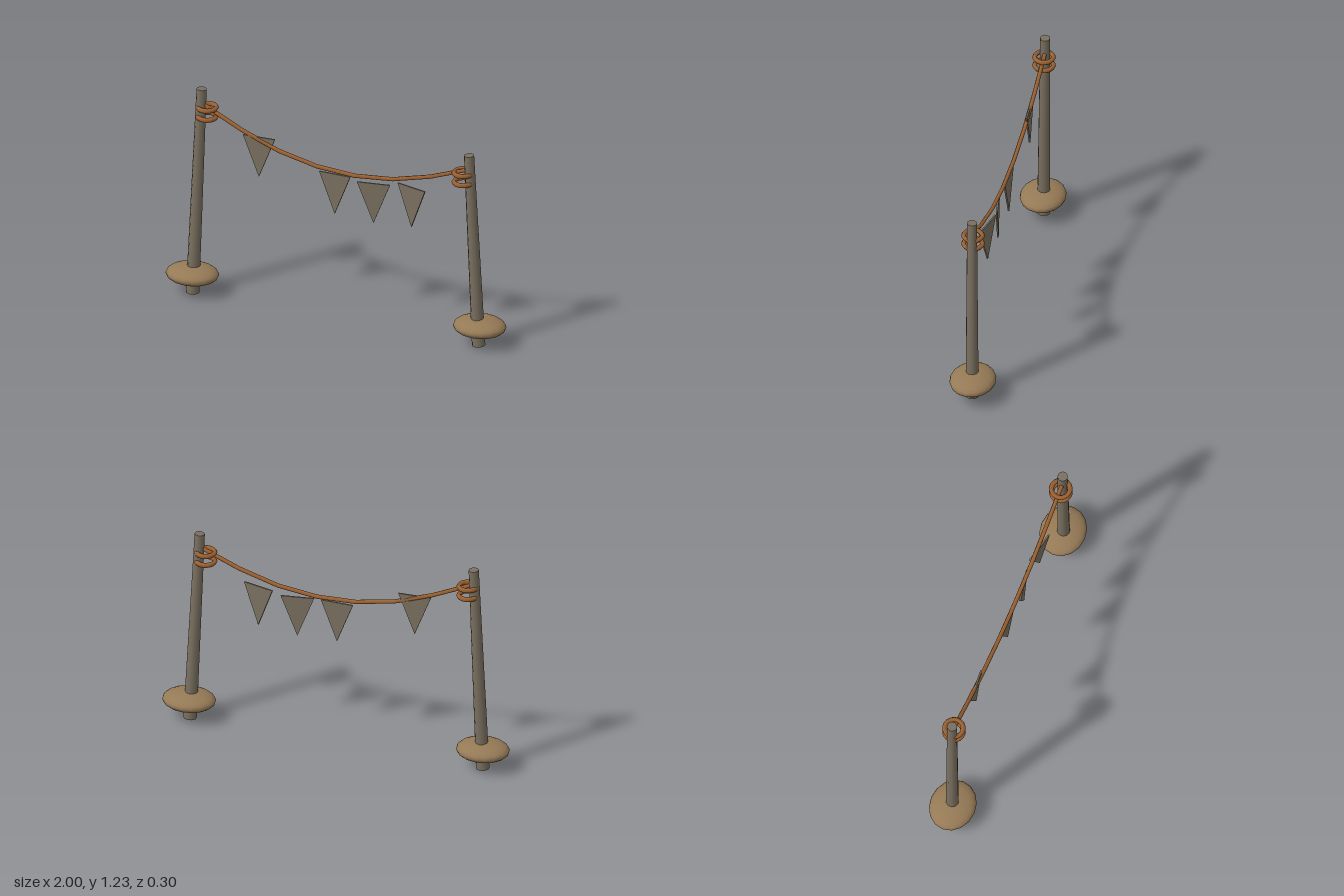
import * as THREE from 'three';

const material = (name, color, side = THREE.FrontSide) => {
  const m = new THREE.MeshStandardMaterial({ color, side });
  m.name = name;
  return m;
};

export function createModel() {
  const group = new THREE.Group();
  const wood = material('weatheredWood', 0x7a7060);
  const earth = material('packedEarth', 0x967a56);
  const hemp = material('hempRope', 0x9c6232);

  const add = (name, geometry, mat, x = 0, y = 0, z = 0) => {
    const mesh = new THREE.Mesh(geometry, mat);
    mesh.name = name;
    mesh.position.set(x, y, z);
    group.add(mesh);
    return mesh;
  };

  // Leaning posts, each with a flattened mound and two rope coils
  const posts = [
    { side: 'right', foot: [-0.852, 0.003, 0.022], top: [-0.807, 1.232, 0.002],
      mound: [-0.852, 0.025], coilX: -0.775, coilY: [1.125, 1.07] },
    { side: 'left', foot: [0.846, 0.003, -0.017], top: [0.795, 1.145, -0.003],
      mound: [0.85, -0.022], coilX: 0.762, coilY: [1.035, 0.98] },
  ];
  for (const p of posts) {
    const foot = new THREE.Vector3(...p.foot);
    const axis = new THREE.Vector3(...p.top).sub(foot);
    const height = axis.length();
    const shaft = new THREE.CylinderGeometry(0.028, 0.037, height, 10);
    shaft.translate(0, height / 2, 0);
    const post = add(p.side + 'Post', shaft, wood, ...p.foot);
    post.quaternion.setFromUnitVectors(new THREE.Vector3(0, 1, 0), axis.normalize());

    const mound = add(p.side + 'Mound', new THREE.SphereGeometry(1, 16, 12), earth,
      p.mound[0], 0.116, p.mound[1]);
    mound.scale.set(0.15, 0.051, 0.127);

    for (const y of p.coilY) {
      const coil = new THREE.TorusGeometry(0.051, 0.0135, 6, 18);
      coil.rotateX(Math.PI / 2);
      add(p.side + 'Coil', coil, hemp, p.coilX, y, 0);
    }
  }

  // Sagging rope made of straight spans
  const ropePath = new THREE.CurvePath();
  const sag = [1.14, 1.032, 0.947, 0.899, 0.887, 0.911, 0.972, 1.06]
    .map((y, i) => new THREE.Vector3(-0.8 + i * 0.2275, y, 0));
  for (let i = 0; i < sag.length - 1; i++) {
    ropePath.add(new THREE.LineCurve3(sag[i], sag[i + 1]));
  }
  // Resample by bend so the tube keeps its corners
  const spans = sag.length - 1;
  ropePath.getPointAt = (t) => {
    const s = Math.min(t * spans, spans - 1e-6);
    const i = Math.floor(s);
    return sag[i].clone().lerp(sag[i + 1], s - i);
  };
  ropePath.getTangentAt = (t) => {
    const i = Math.round(t * spans);
    return sag[Math.min(i + 1, spans)].clone().sub(sag[Math.max(i - 1, 0)]).normalize();
  };
  add('rope', new THREE.TubeGeometry(ropePath, spans, 0.0115, 6), hemp);

  // Triangular pennants, each turned slightly about its own axis
  const shape = new THREE.Shape([
    new THREE.Vector2(-0.093, 0), new THREE.Vector2(0, -0.238), new THREE.Vector2(0.093, 0),
  ]);
  const cloth = new THREE.ExtrudeGeometry(shape, { depth: 0.009, bevelEnabled: false });
  cloth.translate(0, 0, -0.0045);
  const pennants = [
    [-0.463, 1.007, 0.06], [-0.008, 0.874, 0], [0.224, 0.863, 0.18], [0.452, 0.885, -0.23],
  ];
  for (const [x, y, yaw] of pennants) {
    add('pennant', cloth, wood, x, y, 0).rotation.y = yaw;
  }

  return group;
}
